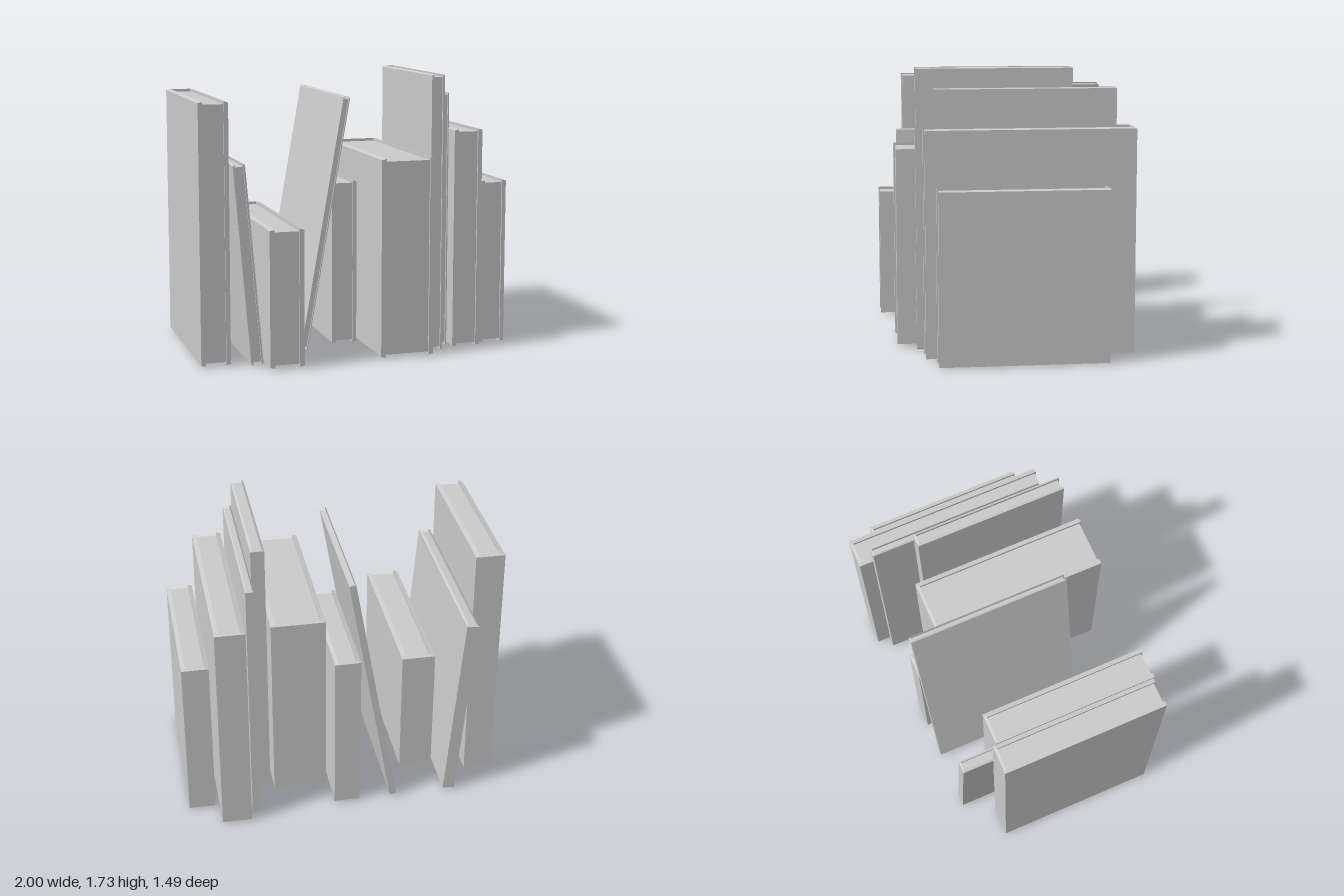
import * as THREE from 'three';

const material = new THREE.MeshStandardMaterial({ color: 0xcccccc, flatShading: true });

// Hard cover: a U-shaped section (two boards and a spine at the back), extruded upward
function coverGeometry(w, h, z0, z1, board, spine) {
  const a = w / 2, b = a - board, zi = z0 + spine;
  const outline = [[-a, z1], [-a, z0], [a, z0], [a, z1], [b, z1], [b, zi], [-b, zi], [-b, z1]];
  const shape = new THREE.Shape(outline.map(([x, z]) => new THREE.Vector2(x, -z)));
  const geo = new THREE.ExtrudeGeometry(shape, { depth: h, bevelEnabled: false });
  geo.rotateX(-Math.PI / 2);
  // Outer edges of the boards slope slightly towards the middle of the height
  const p = geo.attributes.position, slope = 0.007;
  for (let i = 0; i < p.count; i++) {
    const outer = Math.abs(p.getX(i)) > a - 1e-4 || p.getZ(i) < z0 + 1e-4;
    if (outer) p.setY(i, p.getY(i) > h / 2 ? h - slope : slope);
  }
  geo.computeVertexNormals();
  return geo;
}

function makeBook({ x, w, y, h, z0, z1, tilt = 0 }) {
  const book = new THREE.Group();
  book.name = 'book';
  const board = Math.min(0.03, w * 0.15);
  const spine = Math.min(0.018, board);

  const cover = new THREE.Mesh(coverGeometry(w, h, z0, z1, board, spine), material);
  cover.name = 'cover';

  // Page block, set back from the cover at top, bottom and front
  const inset = 0.017, front = z1 - 0.01, back = z0 + spine;
  const pages = new THREE.Mesh(
    new THREE.BoxGeometry(w - 2 * board, h - 2 * inset, front - back), material);
  pages.position.set(0, h / 2, (front + back) / 2);
  pages.name = 'pages';

  book.add(cover, pages);
  book.position.set(x, y, 0);
  book.rotation.z = tilt;
  return book;
}

// Row of books from -x to +x; two of them lean
const books = [
  { x: -0.909, w: 0.182, y: 0.008, h: 1.592, z0: -0.47, z1: 0.56 },
  { x: -0.665, w: 0.075, y: 0.009, h: 1.227, z0: -0.66, z1: 0.61, tilt: 0.085 },
  { x: -0.512, w: 0.212, y: 0.013, h: 0.84, z0: -0.37, z1: 0.74 },
  { x: -0.3, w: 0.042, y: 0.012, h: 1.605, z0: -0.66, z1: 0.35, tilt: -0.174 },
  { x: 0, w: 0.162, y: 0.003, h: 1.049, z0: -0.66, z1: 0.22 },
  { x: 0.27, w: 0.34, y: 0.007, h: 1.231, z0: -0.46, z1: 0.67 },
  { x: 0.5, w: 0.084, y: 0.002, h: 1.73, z0: -0.4, z1: 0.555 },
  { x: 0.583, w: 0.052, y: 0.002, h: 1.61, z0: -0.66, z1: 0.453 },
  { x: 0.717, w: 0.184, y: 0.004, h: 1.383, z0: -0.745, z1: 0.518 },
  { x: 0.917, w: 0.166, y: 0, h: 1.051, z0: -0.563, z1: 0.455 },
];

export function createModel() {
  const model = new THREE.Group();
  model.name = 'bookRow';
  books.forEach((b) => model.add(makeBook(b)));
  return model;
}
